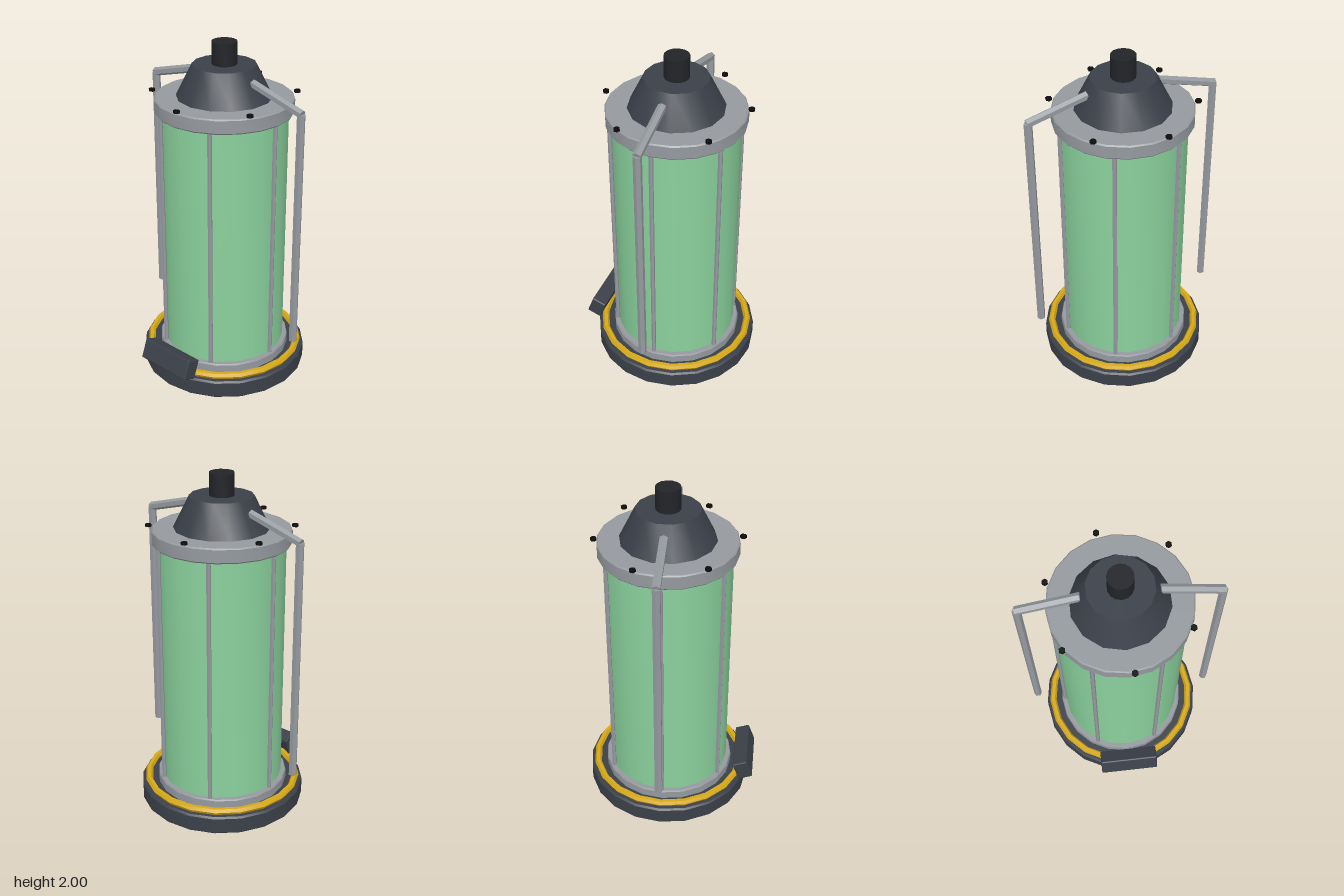
import * as THREE from 'three';
import { toCreasedNormals } from 'three/addons/utils/BufferGeometryUtils.js';
import { RoundedBoxGeometry } from 'three/addons/geometries/RoundedBoxGeometry.js';

const material = (color) => new THREE.MeshStandardMaterial({ color });
const dark = material(0x3b4049);
const black = material(0x222428);
const steel = material(0x959a9f);
const yellow = material(0xd6a916);
const green = material(0x8ad19c);
const boltBlack = material(0x0c0c0c);

export function createModel() {
  const model = new THREE.Group();
  const lantern = new THREE.Group();
  lantern.name = 'lantern';
  lantern.position.z = -0.02;
  model.add(lantern);

  const add = (name, geometry, mat, x = 0, y = 0, z = 0) => {
    const mesh = new THREE.Mesh(geometry, mat);
    mesh.name = name;
    mesh.position.set(x, y, z);
    lantern.add(mesh);
    return mesh;
  };

  // Turned part: closed solid from radius/height pairs, bottom to top
  const turned = (name, profile, sides, mat) => {
    const points = profile.map(([r, y]) => new THREE.Vector2(r, y));
    points.unshift(new THREE.Vector2(0, points[0].y));
    points.push(new THREE.Vector2(0, points[points.length - 1].y));
    return add(name, toCreasedNormals(new THREE.LatheGeometry(points, sides), 0.5), mat);
  };

  // Hexagonal rod between two points
  const rod = (name, from, to, radius, mat) => {
    const a = new THREE.Vector3(...from), b = new THREE.Vector3(...to);
    const dir = b.clone().sub(a);
    const geometry = new THREE.CylinderGeometry(radius, radius, dir.length(), 6);
    geometry.rotateY(Math.PI / 6);
    const mesh = add(name, toCreasedNormals(geometry, 0.5), mat);
    mesh.position.copy(a).add(b).multiplyScalar(0.5);
    mesh.quaternion.setFromUnitVectors(new THREE.Vector3(0, 1, 0), dir.normalize());
    return mesh;
  };

  // Base with softened rims
  turned('base', [[0.48, 0], [0.49, 0.01], [0.49, 0.1], [0.48, 0.11]], 20, dark);

  // Yellow ring lying on the base
  const ring = new THREE.TorusGeometry(0.45, 0.021, 6, 20);
  ring.rotateX(Math.PI / 2);
  add('baseRing', toCreasedNormals(ring, 0.5), yellow, 0, 0.13, 0);

  // Glass body between its two collars
  turned('lowerCollar', [[0.39, 0.11], [0.39, 0.157], [0.385, 0.165]], 20, steel);
  turned('glassBody', [[0.36, 0.16], [0.36, 1.62]], 20, green);
  turned('upperCollar', [[0.385, 1.605], [0.392, 1.613], [0.392, 1.683], [0.385, 1.69]], 20, steel);

  // Upright bars around the glass
  for (let i = 0; i < 6; i++) {
    const a = (i * Math.PI) / 3;
    const x = 0.368 * Math.cos(a), z = 0.368 * Math.sin(a);
    rod('guardBar', [x, 0.15, z], [x, 1.62, z], 0.013, steel);
  }

  // Conical cap and chimney
  turned('cap', [[0.27, 1.69], [0.18, 1.872]], 14, dark);
  turned('chimney', [[0.07, 1.86], [0.07, 2]], 14, black);

  // Bolts, set one radian apart
  for (let i = 0; i < 6; i++) {
    const a = 0.5 + i;
    const bolt = new THREE.CylinderGeometry(0.018, 0.018, 0.015, 6);
    add('bolt', toCreasedNormals(bolt, 0.5), boltBlack,
      0.405 * Math.cos(a), 1.71, 0.405 * Math.sin(a));
  }

  // Handle: a sloping arm and a hanging rod on each side
  for (const side of [-1, 1]) {
    rod('handleArm', [side * 0.205, 1.805, 0], [side * 0.545, 1.71, 0], 0.025, steel);
    rod('handleRod', [side * 0.538, 0.32, 0], [side * 0.538, 1.71, 0], 0.024, steel);
  }

  // Tilted box at the front of the base
  const box = add('controlBox', new RoundedBoxGeometry(0.357, 0.12, 0.09, 1, 0.008),
    dark, 0, 0.183, 0.473);
  box.rotation.x = -0.36;

  return model;
}
